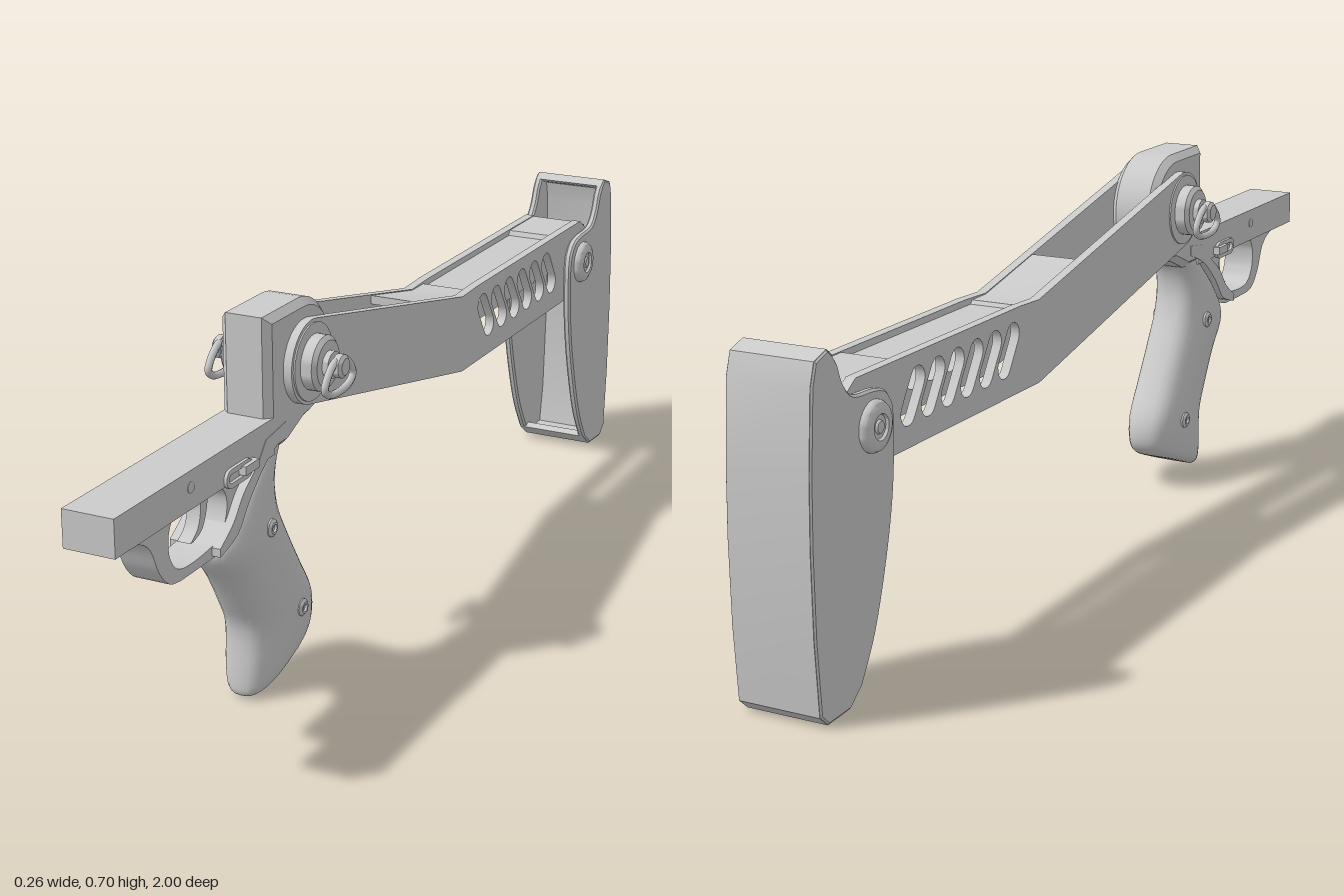
import * as THREE from 'three';
import { toCreasedNormals } from 'three/addons/utils/BufferGeometryUtils.js';

const material = new THREE.MeshStandardMaterial({ color: 0xcccccc, side: THREE.DoubleSide });
const PIVOT = [0.39, 0.59];
const BUTT_PIVOT = [-0.815, 0.455];

export function createModel() {
  const root = new THREE.Group();

  const add = (name, geometry, x = 0, y = 0, z = 0) => {
    const mesh = new THREE.Mesh(geometry, material);
    mesh.name = name;
    mesh.position.set(x, y, z);
    root.add(mesh);
    return mesh;
  };
  const V = (pts) => pts.map(([z, y]) => new THREE.Vector2(z, y));

  // Side outline given as [z, y], extruded across x and centred on x = 0
  const slab = (pts, width, holes = [], bevel = 0) => {
    const shape = new THREE.Shape(V(pts));
    holes.forEach((h) => shape.holes.push(new THREE.Path(V(h))));
    const depth = width - 2 * bevel;
    const g = new THREE.ExtrudeGeometry(shape, {
      depth, bevelEnabled: bevel > 0, bevelSize: bevel, bevelThickness: bevel,
      bevelOffset: -bevel, bevelSegments: 1,
    });
    g.translate(0, 0, -depth / 2);
    g.rotateY(-Math.PI / 2);
    return toCreasedNormals(g, 0.5);
  };
  const arc = ([cz, cy], r, from, to, n) => Array.from({ length: n + 1 }, (_, i) => {
    const a = THREE.MathUtils.degToRad(from + ((to - from) * i) / n);
    return [cz + r * Math.cos(a), cy + r * Math.sin(a)];
  });
  const smooth = (pts, n = 40) => new THREE.SplineCurve(V(pts)).getPoints(n).map((p) => [p.x, p.y]);
  // Turned part along x from [radius, x] points, on side s
  const turned = (name, profile, [z, y], s) => {
    const g = toCreasedNormals(new THREE.LatheGeometry(V(profile), 32), 0.6);
    add(name, g.rotateZ(-s * Math.PI / 2), 0, y, z);
  };

  // Receiver bar and hinge block
  add('receiver', new THREE.BoxGeometry(0.096, 0.067, 0.5), 0, 0.4865, 0.75);
  add('hingeBlock', slab([
    [0.515, 0.455], [0.515, 0.70], ...arc(PIVOT, 0.11, 90, 270, 24), [0.45, 0.455],
  ], 0.096, [], 0.013));

  // Trigger guard with its opening, sweeping back into the frame
  add('triggerGuard', slab([
    [1.0, 0.456],
    ...smooth([[0.985, 0.45], [0.92, 0.443], [0.88, 0.42], [0.855, 0.37], [0.825, 0.338], [0.79, 0.33]], 20),
    [0.68, 0.33], [0.62, 0.345], [0.54, 0.40], [0.47, 0.47], [0.47, 0.5], [0.55, 0.5], [1.0, 0.47],
  ], 0.066, [smooth([
    [0.81, 0.447], [0.735, 0.447], [0.66, 0.445], [0.638, 0.41], [0.66, 0.362],
    [0.72, 0.349], [0.79, 0.351], [0.82, 0.38], [0.823, 0.42], [0.81, 0.447],
  ], 40).slice(0, -1)]));
  // Raised strap along the top of the grip
  add('frameStrap', slab([
    ...smooth([[0.69, 0.335], [0.63, 0.355], [0.59, 0.40], [0.53, 0.45], [0.46, 0.48]], 16),
    [0.46, 0.5], [0.53, 0.49],
    ...smooth([[0.56, 0.455], [0.61, 0.42], [0.645, 0.38], [0.69, 0.35]], 12),
  ], 0.098));
  add('trigger', slab([
    ...smooth([[0.70, 0.46], [0.69, 0.42], [0.70, 0.385], [0.725, 0.366]], 12),
    ...smooth([[0.715, 0.366], [0.685, 0.38], [0.668, 0.42], [0.67, 0.46]], 12),
  ], 0.026));

  // Grip lofted from [front z, front y, back z, back y, half width]
  const sections = [
    [0.545, 0.003, 0.415, 0.05, 0.03], [0.555, 0.012, 0.362, 0.072, 0.046],
    [0.555, 0.045, 0.34, 0.1, 0.054], [0.549, 0.13, 0.345, 0.15, 0.057],
    [0.575, 0.19, 0.385, 0.215, 0.057], [0.61, 0.25, 0.425, 0.28, 0.057],
    [0.655, 0.315, 0.46, 0.345, 0.057], [0.61, 0.385, 0.473, 0.4, 0.052],
    [0.55, 0.44, 0.46, 0.45, 0.046], [0.50, 0.49, 0.42, 0.49, 0.04],
  ];
  const N = 32, rows = 36, pos = [], index = [];
  const lanes = [0, 1, 2, 3, 4].map((k) => new THREE.SplineCurve(
    sections.map((s, i) => new THREE.Vector2(i, s[k]))));
  for (let r = 0; r <= rows; r++) {
    const [fz, fy, bz, by, w] = lanes.map((c) => c.getPoint(r / rows).y);
    for (let i = 0; i < N; i++) {
      const a = (i / N) * Math.PI * 2;
      const sq = (v) => Math.sign(v) * Math.abs(v) ** 0.75;
      const t = (1 - sq(Math.cos(a))) / 2;
      pos.push(w * sq(Math.sin(a)), fy + (by - fy) * t, fz + (bz - fz) * t);
      if (r < rows) {
        const p = r * N + i, q = r * N + ((i + 1) % N);
        index.push(p, q, q + N, p, q + N, p + N);
      }
    }
  }
  for (let i = 1; i < N - 1; i++) index.push(0, i + 1, i);
  const grip = new THREE.BufferGeometry();
  grip.setAttribute('position', new THREE.Float32BufferAttribute(pos, 3));
  grip.setIndex(index);
  grip.computeVertexNormals();
  add('grip', grip);

  // Folding arm outline and its slanted slots
  const armOutline = [
    ...arc(PIVOT, 0.076, 103, -77, 24), [-0.23, 0.38], [-0.85, 0.38], [-0.875, 0.40],
    [-0.875, 0.515], [-0.84, 0.538], [-0.30, 0.538], [-0.23, 0.535],
  ];
  const slots = Array.from({ length: 6 }, (_, i) => {
    const z = -0.343 - i * 0.065;
    return [...arc([z + 0.016, 0.491], 0.023, -33, 147, 8), ...arc([z - 0.016, 0.441], 0.023, 147, 327, 8)];
  });
  const arm = slab(armOutline, 0.018, slots);

  // Web joining both arms, with a shallow recess behind the bend
  add('armWeb', slab([
    [-0.05, 0.572], [-0.23, 0.533], [-0.28, 0.533], [-0.285, 0.526], [-0.705, 0.526], [-0.71, 0.536],
    [-0.84, 0.536], [-0.875, 0.515], [-0.9, 0.515], [-0.9, 0.505], [-0.84, 0.517], [-0.23, 0.517], [-0.05, 0.555],
  ], 0.1));

  // Hollow shoulder rest: back wall plus two cheeks
  const back = [
    [-0.925, 0.598], [-0.94, 0.61], [-0.975, 0.598], [-0.987, 0.56], [-0.997, 0.42], [-1.0, 0.3],
    [-0.997, 0.15], [-0.987, 0.02], [-0.965, 0], [-0.90, 0.003], [-0.865, 0.03],
  ];
  add('shoulderRestBack', slab([
    ...back, [-0.88, 0.037], [-0.905, 0.019], [-0.948, 0.019], [-0.962, 0.1], [-0.972, 0.3],
    [-0.962, 0.55], [-0.953, 0.585], [-0.935, 0.592],
  ], 0.154));
  const cheek = slab([
    ...back,
    ...smooth([[-0.865, 0.03], [-0.82, 0.11], [-0.78, 0.23], [-0.757, 0.34], [-0.75, 0.45]], 20).slice(1),
    ...smooth([[-0.755, 0.48], [-0.775, 0.505], [-0.81, 0.515], [-0.87, 0.52], [-0.897, 0.545], [-0.912, 0.58]], 20),
  ], 0.016, [], 0.004);

  // Wire ring of the hinge pin
  const ring = new THREE.TubeGeometry(new THREE.CatmullRomCurve3([
    [0.442, 0.562], [0.425, 0.547], [0.355, 0.547], [0.338, 0.562], [0.37, 0.598], [0.41, 0.598],
  ].map(([z, y]) => new THREE.Vector3(0, y, z)), true), 48, 0.007, 8, true);

  // Slotted plate of the selector
  const oval = (r) => [...arc([0.655, 0.464], r, -90, 90, 8), ...arc([0.60, 0.464], r, 90, 270, 8)];
  const oblong = slab(oval(0.017), 0.008, [oval(0.008)]);

  for (const s of [1, -1]) {
    add('arm', arm, s * 0.055);
    add('shoulderRestCheek', cheek, s * 0.072);
    turned('hingeBoss', [
      [0, 0.04], [0.07, 0.04], [0.07, 0.067], [0.05, 0.067], [0.05, 0.088], [0.042, 0.095],
      [0.024, 0.095], [0.024, 0.106], [0.012, 0.106], [0.012, 0.112],
      [0.021, 0.112], [0.021, 0.124], [0.015, 0.129], [0, 0.129],
    ], PIVOT, s);
    add('hingePinRing', ring, s * 0.115);
    turned('shoulderRestBolt', [
      [0, 0.06], [0.044, 0.06], [0.044, 0.084], [0.04, 0.091], [0.032, 0.095],
      [0.022, 0.095], [0.02, 0.09], [0.012, 0.09], [0.01, 0.094], [0, 0.094],
    ], BUTT_PIVOT, s);
    for (const at of [[0.53, 0.33], [0.425, 0.137]]) {
      turned('gripScrew', [
        [0, 0.04], [0.016, 0.04], [0.016, 0.059], [0.011, 0.063], [0.007, 0.063], [0.006, 0.059], [0, 0.059],
      ], at, s);
    }
    turned('receiverPin', [[0, 0.03], [0.01, 0.03], [0.01, 0.049], [0.007, 0.051], [0, 0.051]], [0.775, 0.491], s);
    add('selectorPlate', oblong, s * 0.05);
    add('selectorLever', new THREE.BoxGeometry(0.018, 0.016, 0.045), s * 0.053, 0.467, 0.6);
  }
  return root;
}
